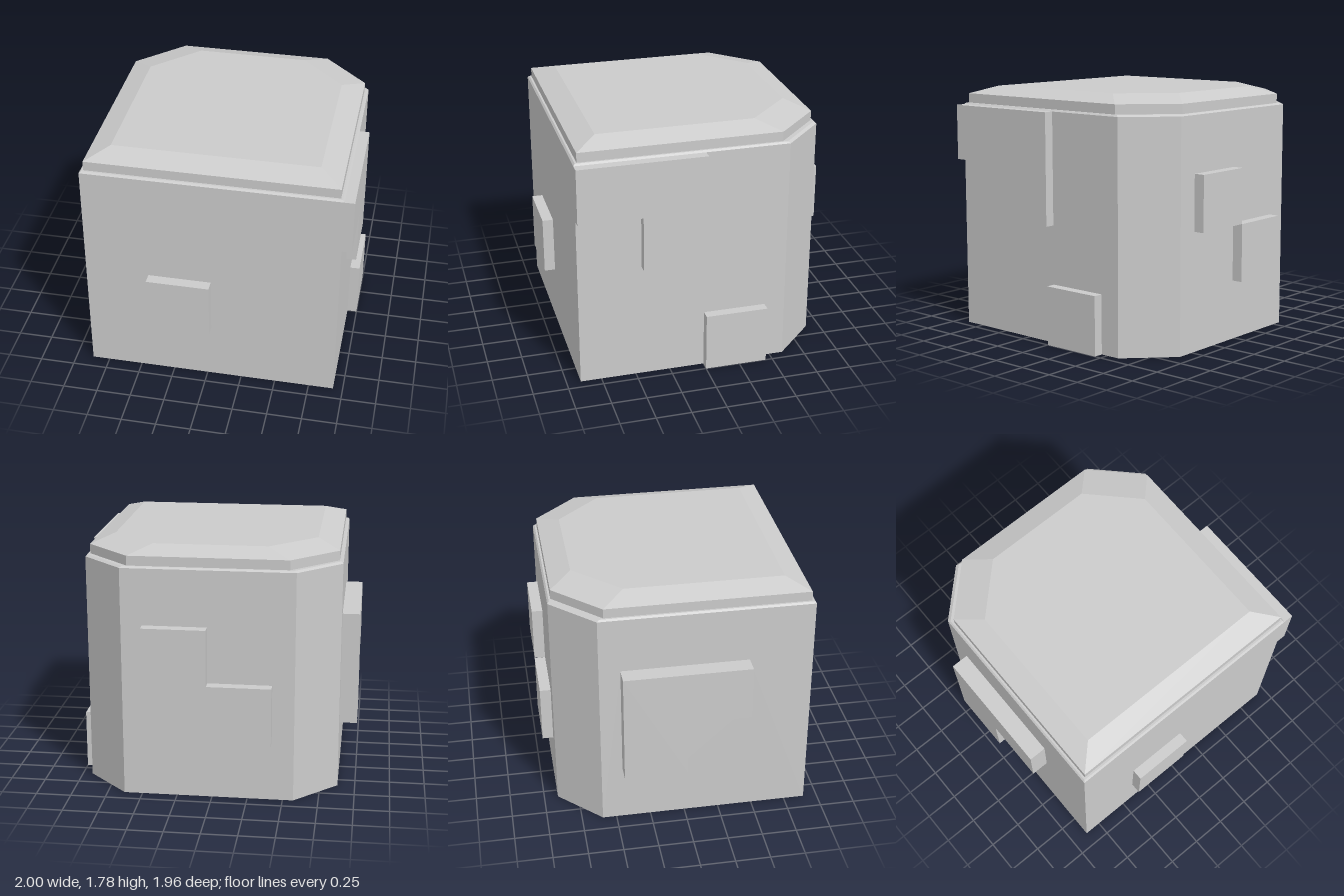
import * as THREE from 'three';

const material = new THREE.MeshStandardMaterial({
  color: 0xcccccc, flatShading: true, side: THREE.DoubleSide,
});
const TOP = 1.65; // height of the walls

function addMesh(parent, name, geometry) {
  const mesh = new THREE.Mesh(geometry, material);
  mesh.name = name;
  parent.add(mesh);
  return mesh;
}

// Flat-shaded band of quads between two matching rows of [x, y, z] points
function strip(lower, upper, closed = true) {
  const pos = [];
  const n = lower.length;
  for (let i = 0; i < (closed ? n : n - 1); i++) {
    const j = (i + 1) % n;
    pos.push(...lower[i], ...lower[j], ...upper[j], ...lower[i], ...upper[j], ...upper[i]);
  }
  const g = new THREE.BufferGeometry();
  g.setAttribute('position', new THREE.Float32BufferAttribute(pos, 3));
  g.computeVertexNormals();
  return g;
}

const toShape = (pts) => new THREE.Shape(pts.map(([x, y]) => new THREE.Vector2(x, y)));
const rect = (x0, y0, x1, y1) => [[x0, y0], [x1, y0], [x1, y1], [x0, y1]];

// Plan outline with both back corners cut off, inset from the walls
function ring(y, inset, cut) {
  const x0 = -0.875 + inset, x1 = 0.93 - inset, z = 0.9 - inset;
  return [[x0, y, z], [x1, y, z], [x1, y, cut - z], [x1 - cut, y, -z], [x0 + cut, y, -z], [x0, y, cut - z]];
}

// A wall with openings, each covered by a hollow raised panel
function wall(name, angle, distance, depth, outline, openings, panels) {
  const group = new THREE.Group();
  group.name = name;
  group.rotation.y = angle;
  const shape = toShape(outline);
  openings.forEach((o) => shape.holes.push(toShape(o)));
  addMesh(group, name + 'Sheet', new THREE.ShapeGeometry(shape)).position.z = distance;
  for (const p of panels) {
    addMesh(group, 'raisedPanelFace', new THREE.ShapeGeometry(toShape(p))).position.z = distance + depth;
    addMesh(group, 'raisedPanelEdge', strip(
      p.map(([x, y]) => [x, y, distance]),
      p.map(([x, y]) => [x, y, distance + depth]),
    ));
  }
  return group;
}

export function createModel() {
  const model = new THREE.Group();
  model.name = 'box';

  // Front wall with one square panel
  const frontPanel = rect(-0.42, 0.43, 0.03, 0.845);
  model.add(wall('frontWall', 0, 0.9, 0.078, rect(-0.875, 0, 0.93, TOP), [frontPanel], [frontPanel]));

  // Wall on +x: the panels reach its edges, so its outline is notched
  const cornerPanel = [[-0.9, 1.25], [-0.45, 1.25], [-0.45, 0.85], [0, 0.85], [0, TOP], [-0.9, TOP]];
  const footPanel = rect(0, 0, 0.45, 0.425);
  const notched = [
    [-0.9, 0], [0, 0], [0, 0.425], [0.45, 0.425], [0.45, 0], [0.6, 0],
    [0.6, TOP], [0, TOP], [0, 0.85], [-0.45, 0.85], [-0.45, 1.25], [-0.9, 1.25],
  ];
  model.add(wall('leftWall', Math.PI / 2, 0.93, 0.07, notched, [], [cornerPanel, footPanel]));

  // Back wall with two squares meeting at a corner
  const backPanels = [rect(-0.48, 0.85, -0.031, 1.25), rect(-0.03, 0.43, 0.42, 0.849)];
  model.add(wall('backWall', Math.PI, 0.9, 0.078, rect(-0.63, 0, 0.575, TOP), backPanels, backPanels));

  // Wall on -x with an L-shaped panel
  const bentPanel = [[-0.45, 0.43], [0, 0.43], [0, 0.85], [0.45, 0.85], [0.45, 1.25], [-0.45, 1.25]];
  model.add(wall('rightWall', -Math.PI / 2, 0.875, 0.125, rect(-0.6, 0, 0.9, TOP), [bentPanel], [bentPanel]));

  // Cut back corners
  const base = ring(0, 0, 0.3), rim = ring(TOP, 0, 0.3);
  addMesh(model, 'leftBackCorner', strip(base.slice(2, 4), rim.slice(2, 4), false));
  addMesh(model, 'rightBackCorner', strip(base.slice(4, 6), rim.slice(4, 6), false));

  // Rim, lid side and lid bevel
  const levels = [rim, ring(1.662, 0.012, 0.305), ring(1.662, 0.026, 0.32), ring(1.73, 0.026, 0.32), ring(1.785, 0.183, 0.32)];
  ['rim', 'rimLedge', 'lidSide', 'lidBevel'].forEach((name, i) => {
    addMesh(model, name, strip(levels[i], levels[i + 1]));
  });

  // Flat top of the lid
  const top = new THREE.ShapeGeometry(toShape(levels[4].map(([x, , z]) => [x, -z])));
  top.rotateX(-Math.PI / 2);
  addMesh(model, 'lidTop', top).position.y = 1.785;

  return model;
}
